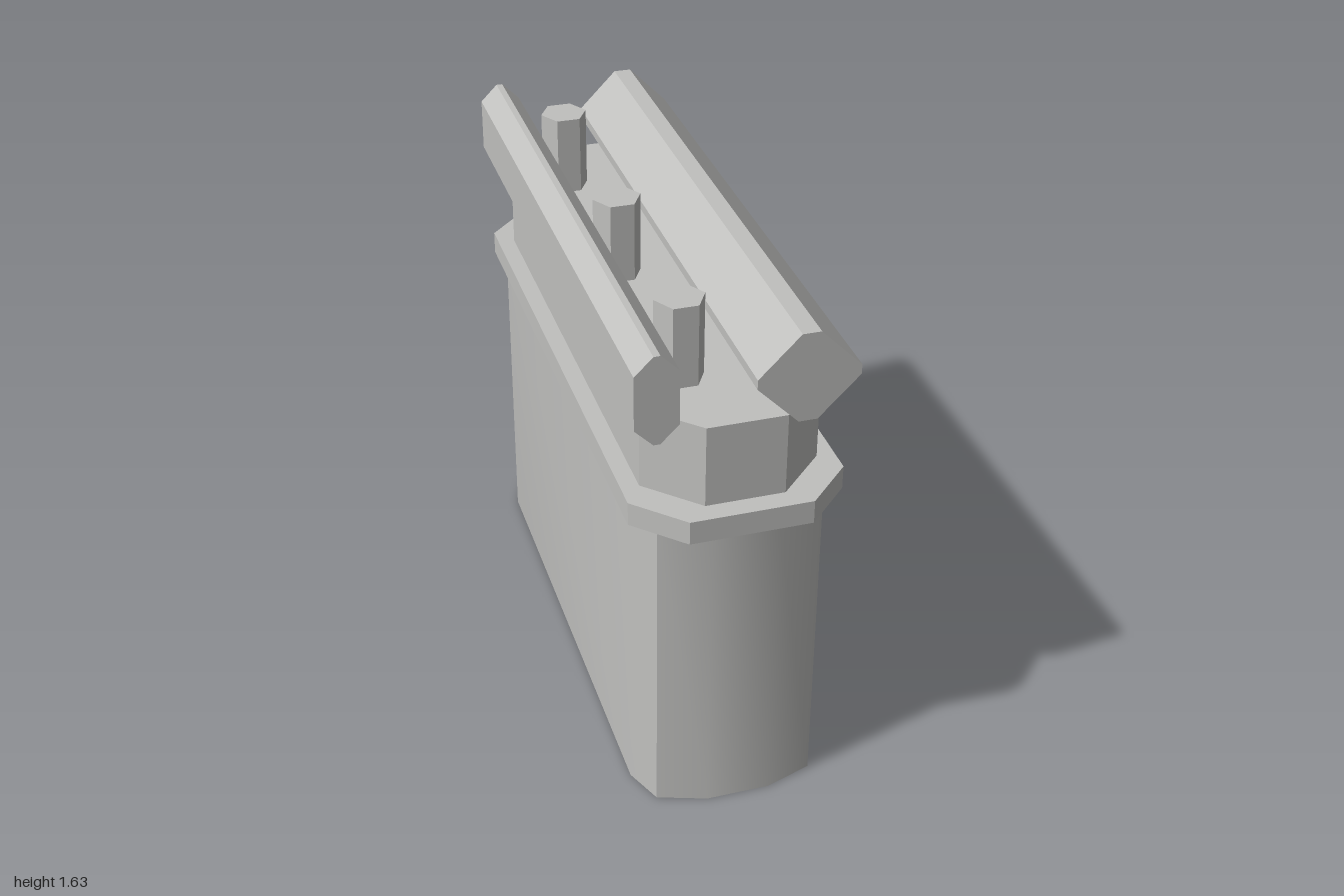
import * as THREE from 'three';
import { toCreasedNormals } from 'three/addons/utils/BufferGeometryUtils.js';

const metal = new THREE.MeshStandardMaterial({ color: 0xc0c0be });
metal.name = 'grey metal';

// Closed outline extruded along +z
function extrude(points, depth) {
  const shape = new THREE.Shape(points.map(([x, y]) => new THREE.Vector2(x, y)));
  return new THREE.ExtrudeGeometry(shape, { depth, bevelEnabled: false });
}

// Mirror a quarter outline (ordered from the +x side to the +y end) into a full one
function mirrorQuarter(quarter) {
  const half = [...quarter, ...quarter.map(([x, y]) => [-x, y]).reverse()];
  return [...half, ...half.map(([x, y]) => [x, -y]).reverse()];
}

// Upright prism from a quarter plan outline of [x, z] points
function upright(quarter, y0, y1) {
  const g = extrude(mirrorQuarter(quarter), y1 - y0);
  g.rotateX(-Math.PI / 2);
  g.translate(0, y0, 0);
  return g;
}

export function createModel() {
  const model = new THREE.Group();
  const add = (name, geometry) => {
    const mesh = new THREE.Mesh(geometry, metal);
    mesh.name = name;
    model.add(mesh);
    return mesh;
  };

  // Main case: softly bowed sides meeting at four sharp corners
  const body = upright([[0.3, 0.78], [0.25, 0.9], [0.1, 0.95]], 0, 1.035);
  add('body', toCreasedNormals(body, 0.6));

  // Chamfered collar and neck
  add('collar', upright([[0.325, 0.86], [0.185, 1]], 1.035, 1.11));
  add('neck', upright([[0.27, 0.785], [0.12, 0.935]], 1.11, 1.37));

  // Long rails: bevelled narrow one on the right, diamond one on the left
  const rail = (name, quarter, x) => {
    const g = extrude(mirrorQuarter(quarter), 1.89);
    g.translate(x, 1.49, -0.945);
    add(name, g);
  };
  rail('narrowRail', [[0.065, 0.085], [0.01, 0.14]], -0.265);
  rail('diamondRail', [[0.152, 0.015], [0.028, 0.14]], 0.173);

  // Row of hexagonal pins
  for (const z of [-0.655, 0, 0.65]) {
    const g = toCreasedNormals(new THREE.CylinderGeometry(0.076, 0.076, 0.27, 6), 0.3);
    g.rotateY(Math.PI / 2);
    add('pin', g).position.set(-0.112, 1.495, z);
  }

  return model;
}
